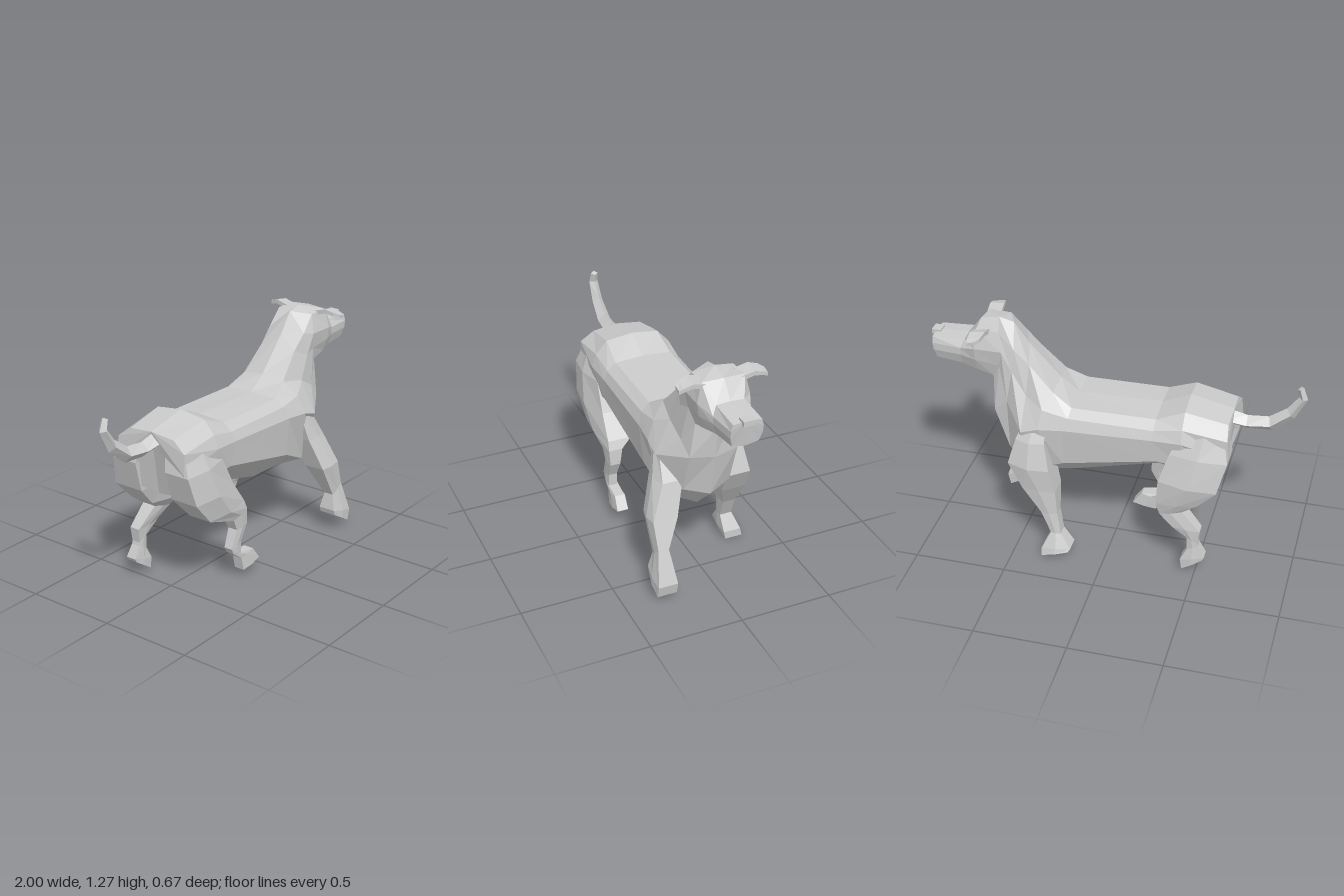
import * as THREE from 'three';

const material = new THREE.MeshStandardMaterial({ color: 0xcccccc, flatShading: true });

// Skin a closed solid over rings of [x, y, z] points, with both ends capped.
function loft(name, rings) {
  const n = rings[0].length;
  const tris = [];
  for (let i = 0; i < rings.length - 1; i++) {
    for (let j = 0; j < n; j++) {
      const k = (j + 1) % n;
      const a = rings[i][j], b = rings[i][k], c = rings[i + 1][k], d = rings[i + 1][j];
      tris.push([a, b, c], [a, c, d]);
    }
  }
  const first = rings[0], last = rings[rings.length - 1];
  for (let j = 1; j < n - 1; j++) {
    tris.push([first[0], first[j + 1], first[j]], [last[0], last[j], last[j + 1]]);
  }
  // Turn the faces outward whatever direction the rings run in.
  let volume = 0;
  for (const [a, b, c] of tris) {
    volume += new THREE.Vector3(...a).dot(new THREE.Vector3(...b).cross(new THREE.Vector3(...c)));
  }
  if (volume < 0) tris.forEach((t) => t.reverse());
  const geometry = new THREE.BufferGeometry();
  geometry.setAttribute('position', new THREE.Float32BufferAttribute(tris.flat(2), 3));
  geometry.computeVertexNormals();
  const mesh = new THREE.Mesh(geometry, material);
  mesh.name = name;
  return mesh;
}

// Complete a half section (top centre to bottom centre) by mirroring it in z.
function mirrorRing(half) {
  const other = half.slice(1, -1).reverse().map(([x, y, z]) => [x, y, -z]);
  return [...half, ...other];
}

// Leg sections: [back x, back y, front x, front y, inner z, outer z, front outer z].
function leg(name, side, sections) {
  return loft(name, sections.map(([xb, yb, xf, yf, zi, zo, zf = zo - 0.006]) => {
    const xm = (xb + xf) / 2, ym = (yb + yf) / 2, inset = (zo - zi) * 0.1;
    return [
      [xb, yb, side * (zi + inset)], [xb, yb, side * (zo - inset)], [xm, ym, side * zo],
      [xf, yf, side * zf], [xf, yf, side * (zi + 0.006)], [xm, ym, side * zi],
    ];
  }));
}

export function createModel() {
  const dog = new THREE.Group();
  dog.name = 'dog';

  // Torso, from rump to shoulders.
  const shoulders = [
    [0.47, 1.15, 0], [0.44, 1.08, 0.11], [0.45, 0.92, 0.155],
    [0.46, 0.74, 0.24], [0.56, 0.56, 0.13], [0.61, 0.53, 0],
  ];
  const torso = [
    [[-0.63, 0.92, 0], [-0.625, 0.905, 0.14], [-0.635, 0.85, 0.215], [-0.645, 0.74, 0.22], [-0.61, 0.6, 0.16], [-0.58, 0.57, 0]],
    [[-0.4, 0.97, 0], [-0.4, 0.95, 0.15], [-0.4, 0.88, 0.215], [-0.4, 0.81, 0.24], [-0.4, 0.66, 0.22], [-0.42, 0.52, 0]],
    [[-0.25, 0.9, 0], [-0.25, 0.89, 0.16], [-0.25, 0.85, 0.21], [-0.24, 0.8, 0.23], [-0.27, 0.67, 0.22], [-0.26, 0.51, 0]],
    [[0.2, 0.89, 0], [0.2, 0.885, 0.16], [0.21, 0.845, 0.205], [0.23, 0.78, 0.23], [0.24, 0.56, 0.21], [0.22, 0.385, 0]],
    [[0.3, 0.965, 0], [0.31, 0.945, 0.13], [0.35, 0.87, 0.2], [0.37, 0.77, 0.24], [0.43, 0.47, 0.18], [0.45, 0.38, 0]],
    shoulders,
  ];

  // Neck rising to the back of the skull.
  const neckTop = [
    [0.63, 1.28, 0], [0.6, 1.25, 0.11], [0.58, 1.15, 0.14],
    [0.6, 1.06, 0.125], [0.64, 0.985, 0.105], [0.68, 0.96, 0],
  ];
  const neck = [
    shoulders,
    [[0.55, 1.26, 0], [0.52, 1.16, 0.115], [0.53, 1.04, 0.135], [0.56, 0.86, 0.145], [0.635, 0.79, 0.13], [0.66, 0.78, 0]],
    neckTop,
  ];

  // Skull narrowing to the muzzle.
  const head = [
    neckTop,
    [[0.73, 1.26, 0], [0.72, 1.255, 0.115], [0.73, 1.15, 0.14], [0.73, 1.08, 0.13], [0.73, 1.01, 0.105], [0.76, 0.98, 0]],
    [[0.8, 1.17, 0], [0.8, 1.165, 0.075], [0.82, 1.12, 0.1], [0.82, 1.08, 0.1], [0.82, 1.02, 0.08], [0.84, 1.0, 0]],
    [[0.98, 1.16, 0], [0.98, 1.155, 0.075], [0.98, 1.12, 0.085], [0.975, 1.08, 0.085], [0.965, 1.03, 0.07], [0.96, 1.015, 0]],
  ];
  dog.add(
    loft('torso', torso.map(mirrorRing)),
    loft('neck', neck.map(mirrorRing)),
    loft('head', head.map(mirrorRing)),
  );

  const nose = new THREE.Mesh(new THREE.BoxGeometry(0.05, 0.028, 0.06), material);
  nose.name = 'nose';
  nose.position.set(0.975, 1.156, 0);
  dog.add(nose);

  // Ears: flat tapering flaps, [z, low y, high y, back x, front x].
  for (const side of [1, -1]) {
    const sections = [
      [0.09, 1.23, 1.255, 0.65, 0.73],
      [0.16, 1.25, 1.273, 0.655, 0.735],
      [0.21, 1.24, 1.26, 0.665, 0.735],
      [0.233, 1.23, 1.248, 0.69, 0.73],
    ];
    dog.add(loft(side > 0 ? 'rightEar' : 'leftEar', sections.map(([z, lo, hi, xb, xf]) => [
      [xb, hi, side * z], [xf, hi - 0.01, side * z], [xf, lo - 0.01, side * z], [xb, lo, side * z],
    ])));
  }

  // Tail sections: [upper x, upper y, lower x, lower y, half width].
  const tail = [
    [-0.58, 0.92, -0.6, 0.83, 0.06],
    [-0.7, 0.89, -0.7, 0.81, 0.045],
    [-0.81, 0.9, -0.83, 0.82, 0.037],
    [-0.9, 0.965, -0.94, 0.91, 0.03],
    [-0.955, 1.04, -1.0, 1.03, 0.025],
    [-0.945, 1.085, -0.975, 1.1, 0.02],
  ];
  dog.add(loft('tail', tail.map(([xu, yu, xl, yl, w]) => {
    const xm = (xu + xl) / 2, ym = (yu + yl) / 2;
    return [[xu, yu, 0], [xm, ym, w], [xl, yl, 0], [xm, ym, -w]];
  })));

  // Front legs: one reaching forward, one swung back.
  dog.add(leg('forwardFrontLeg', 1, [
    [0.36, 0.77, 0.45, 0.76, 0.08, 0.222],
    [0.4, 0.6, 0.545, 0.61, 0.12, 0.262, 0.235],
    [0.46, 0.42, 0.6, 0.43, 0.17, 0.32, 0.31],
    [0.57, 0.23, 0.65, 0.28, 0.24, 0.31],
    [0.555, 0.14, 0.71, 0.1, 0.215, 0.335],
    [0.565, 0.11, 0.695, 0.035, 0.215, 0.335],
  ]));
  dog.add(leg('backwardFrontLeg', -1, [
    [0.32, 0.84, 0.44, 0.82, 0.08, 0.195],
    [0.33, 0.69, 0.49, 0.69, 0.1, 0.265, 0.24],
    [0.3, 0.54, 0.53, 0.55, 0.12, 0.3, 0.265],
    [0.27, 0.4, 0.45, 0.41, 0.14, 0.285],
    [0.26, 0.26, 0.35, 0.26, 0.2, 0.28],
    [0.24, 0.14, 0.295, 0.14, 0.21, 0.29],
    [0.18, 0.065, 0.34, 0.05, 0.215, 0.325],
    [0.19, 0.05, 0.34, 0.005, 0.225, 0.335],
  ]));

  // Hind legs: heavy haunch, bent hock, flat paw.
  dog.add(leg('forwardHindLeg', 1, [
    [-0.615, 0.86, -0.42, 0.88, 0.06, 0.21, 0.19],
    [-0.645, 0.73, -0.35, 0.74, 0.08, 0.262, 0.23],
    [-0.6, 0.57, -0.27, 0.58, 0.08, 0.282, 0.235],
    [-0.48, 0.44, -0.18, 0.45, 0.1, 0.27, 0.24],
    [-0.27, 0.365, -0.16, 0.4, 0.16, 0.25],
    [-0.24, 0.3, -0.155, 0.31, 0.175, 0.245],
    [-0.28, 0.2, -0.2, 0.22, 0.18, 0.24],
    [-0.265, 0.17, -0.2, 0.15, 0.18, 0.24],
    [-0.2, 0.12, -0.1, 0.14, 0.175, 0.245],
    [-0.185, 0.045, -0.05, 0.07, 0.175, 0.25],
  ]));
  dog.add(leg('backwardHindLeg', -1, [
    [-0.615, 0.86, -0.42, 0.88, 0.06, 0.21, 0.19],
    [-0.645, 0.73, -0.34, 0.74, 0.08, 0.265, 0.24],
    [-0.6, 0.56, -0.29, 0.58, 0.08, 0.3, 0.27],
    [-0.5, 0.45, -0.28, 0.43, 0.1, 0.28, 0.265],
    [-0.42, 0.39, -0.3, 0.36, 0.16, 0.26],
    [-0.52, 0.28, -0.37, 0.29, 0.19, 0.265],
    [-0.51, 0.2, -0.45, 0.23, 0.2, 0.26],
    [-0.515, 0.18, -0.455, 0.15, 0.2, 0.26],
    [-0.55, 0.115, -0.42, 0.08, 0.195, 0.27],
    [-0.54, 0.095, -0.43, 0.02, 0.195, 0.27],
  ]));

  return dog;
}
